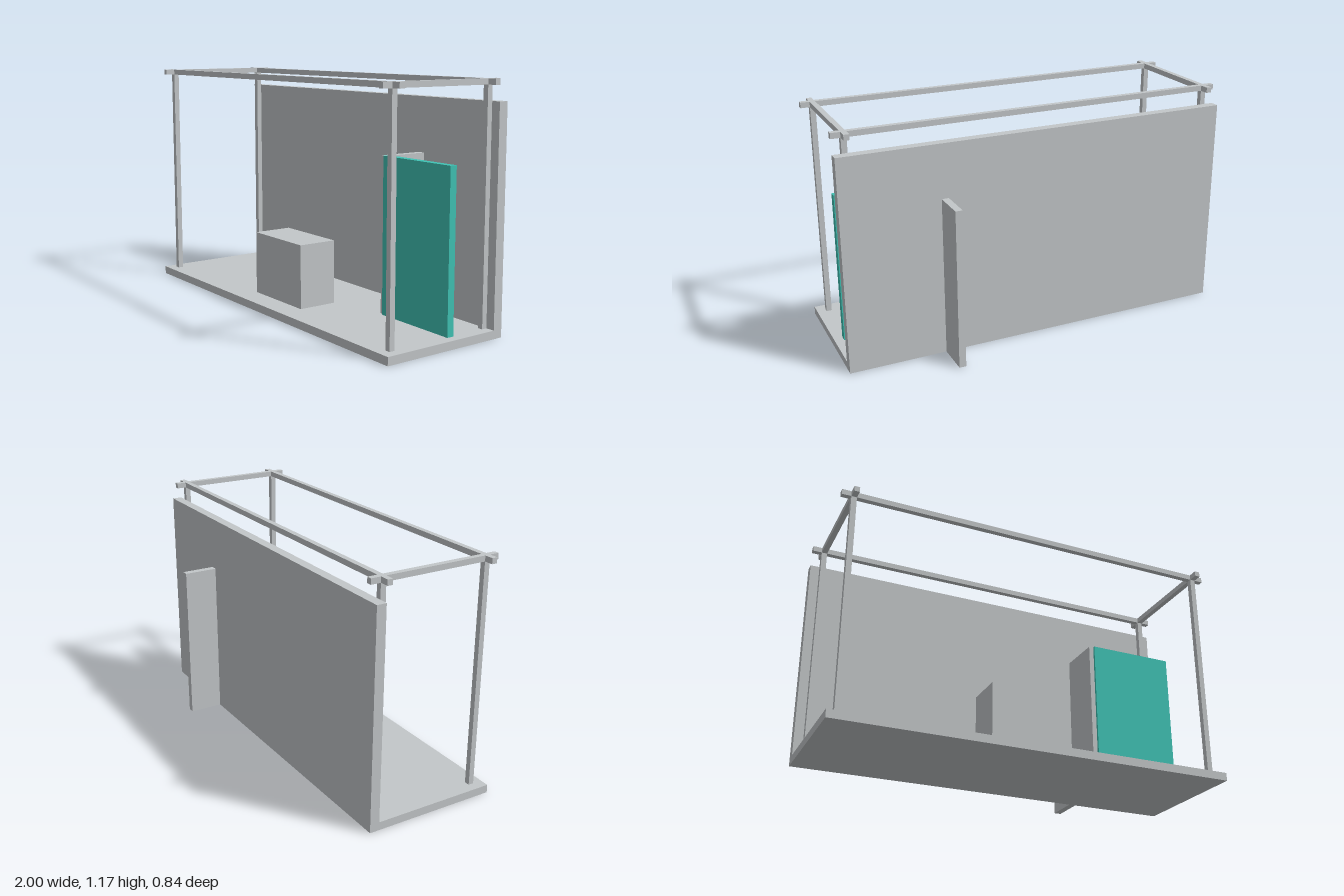
import * as THREE from 'three';

export function createModel() {
  const group = new THREE.Group();
  const grey = new THREE.MeshStandardMaterial({ color: 0xc3c7c9 });
  grey.name = 'lightGrey';
  const teal = new THREE.MeshStandardMaterial({ color: 0x40c3b5 });
  teal.name = 'teal';

  // Box spanning the given [min, max] ranges
  const block = (name, [x0, x1], [y0, y1], [z0, z1], material = grey) => {
    const mesh = new THREE.Mesh(new THREE.BoxGeometry(x1 - x0, y1 - y0, z1 - z0), material);
    mesh.position.set((x0 + x1) / 2, (y0 + y1) / 2, (z0 + z1) / 2);
    mesh.name = name;
    group.add(mesh);
  };

  // Floor, back wall and counter
  block('floor', [-1, 1], [0, 0.04], [-0.2, 0.418]);
  block('backWall', [-1, 1], [0, 1.068], [-0.248, -0.2]);
  block('counter', [-0.2, 0.2], [0.04, 0.356], [0.1, 0.3]);

  // Partition running through the wall, with a coloured panel at its front
  block('partition', [0.48, 0.515], [0, 0.8], [-0.418, 0.03]);
  block('colouredPanel', [0.505, 0.955], [0.002, 0.801], [0.006, 0.042], teal);

  // Open frame: posts with crossing beams on top
  const half = 0.0135;
  const span = (c) => [c - half, c + half];
  const postX = [-0.941, 0.941];
  const postZ = [-0.186, 0.357];
  for (const x of postX) {
    for (const z of postZ) block('post', span(x), [0.04, 1.14], span(z));
    block('crossBeam', span(x), [1.14, 1.167], [-0.248, 0.418]);
  }
  for (const z of postZ) block('longBeam', [-1, 1], [1.14, 1.167], span(z));

  return group;
}
